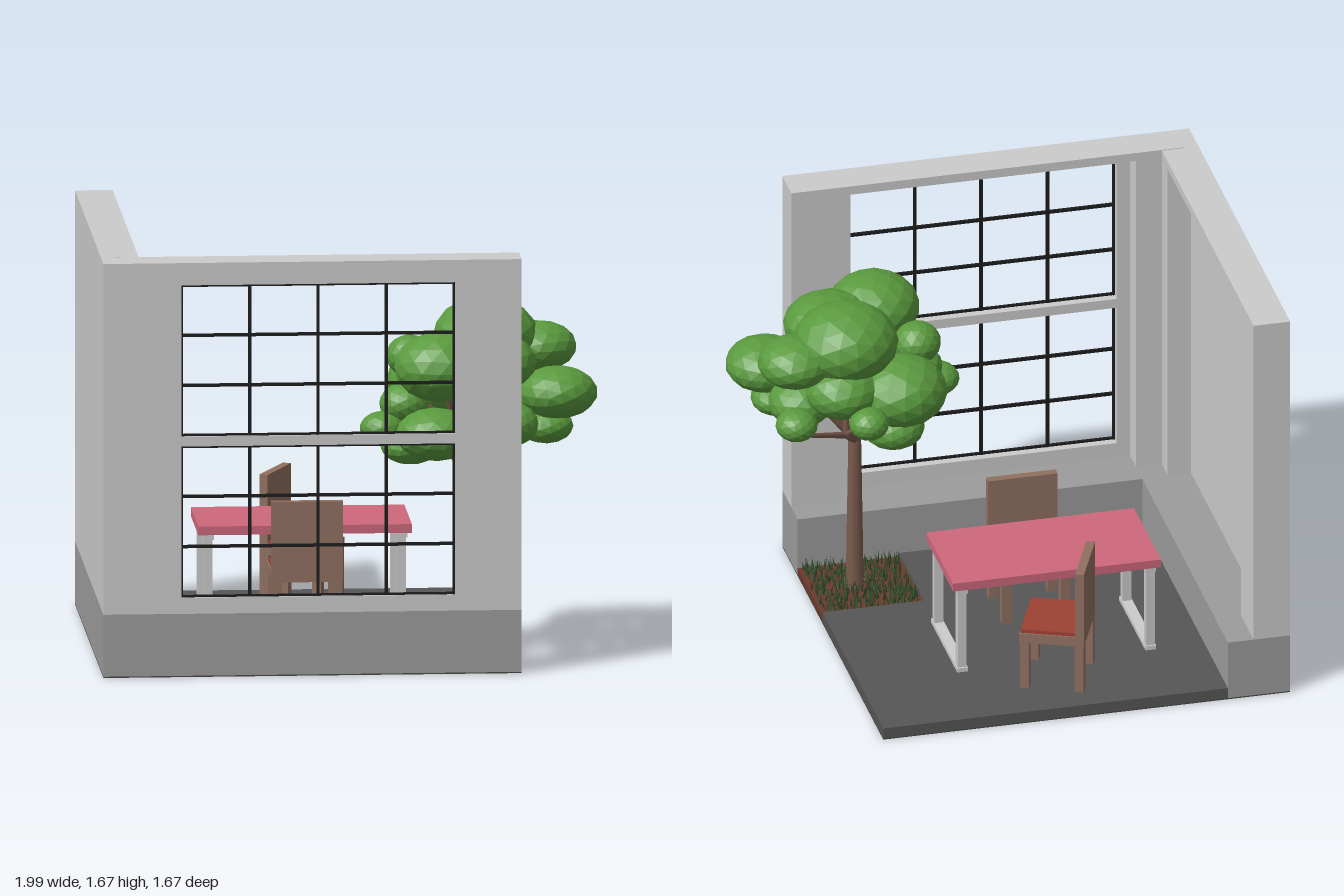
import * as THREE from 'three';
import { mergeGeometries } from 'three/addons/utils/BufferGeometryUtils.js';

const mat = (color, extra = {}) => new THREE.MeshStandardMaterial({ color, ...extra });
const M = {
  wall: mat(0xcccccc), base: mat(0x9c9c9c), floor: mat(0x565656), underside: mat(0x484848),
  bar: mat(0x1c1c1c), table: mat(0xcd687c), wood: mat(0x907060), cushion: mat(0x9e4034),
  bark: mat(0x7c5c4e), leaf: mat(0x5a9a3e, { flatShading: true }),
  soil: mat(0x6a3a2c), grass: mat(0x33502c, { flatShading: true, side: THREE.DoubleSide }),
};

function add(parent, name, geometry, material) {
  const mesh = new THREE.Mesh(geometry, material);
  mesh.name = name;
  parent.add(mesh);
  return mesh;
}

// Box given by its lower and upper corners
function box(parent, name, material, x0, x1, y0, y1, z0, z1) {
  const mesh = add(parent, name, new THREE.BoxGeometry(x1 - x0, y1 - y0, z1 - z0), material);
  mesh.position.set((x0 + x1) / 2, (y0 + y1) / 2, (z0 + z1) / 2);
  return mesh;
}

const rect = (x0, x1, y0, y1) =>
  [[x0, y0], [x1, y0], [x1, y1], [x0, y1]].map(p => new THREE.Vector2(...p));

function panel(points, depth, holes = []) {
  const shape = new THREE.Shape(points);
  holes.forEach(h => shape.holes.push(new THREE.Path(h)));
  return new THREE.ExtrudeGeometry(shape, { depth, bevelEnabled: false });
}

// Inner frame of a wall, open at the bottom where it meets the plinth
const surround = (a, b, c, d) => panel(
  [[a, 0.255], [b, 0.255], [b, 1.635], [c, 1.635], [c, 0.255], [d, 0.255], [d, 1.67], [a, 1.67]]
    .map(p => new THREE.Vector2(...p)), 0.095);

function createRoom() {
  const g = new THREE.Group();
  g.name = 'room';
  box(g, 'underside', M.underside, -1, 0.665, 0, 0.005, -0.835, 0.835);
  // Floor leaves a corner free for the planting bed
  const floorPts = [[-0.745, -0.58], [0.25, -0.58], [0.25, -0.17], [0.665, -0.17], [0.665, 0.835], [-0.745, 0.835]]
    .map(p => new THREE.Vector2(...p));
  const floor = add(g, 'floor', panel(floorPts, 0.045), M.floor);
  floor.rotation.x = -Math.PI / 2;
  floor.position.y = 0.005;
  // Plinths
  box(g, 'sidePlinth', M.base, -1, -0.745, 0.005, 0.255, -0.835, 0.58);
  box(g, 'frontPlinth', M.base, -1, 0.665, 0.005, 0.255, 0.58, 0.835);
  // Side wall with a recessed inner panel
  box(g, 'sideWall', M.wall, -1, -0.945, 0.255, 1.67, -0.835, 0.78);
  const side = add(g, 'sideWallFrame', surround(-0.835, -0.63, 0.585, 0.68), M.wall);
  side.rotation.y = -Math.PI / 2;
  side.position.x = -0.85;
  // Front wall with two openings divided by a crossbar
  const panes = [[0.32, 0.93], [0.97, 1.58]];
  const front = add(g, 'frontWall', panel(rect(-1, 0.665, 0.255, 1.67), 0.055,
    panes.map(([lo, hi]) => rect(-0.69, 0.40, lo, hi))), M.wall);
  front.position.z = 0.78;
  const inner = add(g, 'frontWallFrame', surround(-0.945, -0.745, 0.46, 0.665), M.wall);
  inner.position.z = 0.685;
  // Window bars
  const t = 0.006;
  panes.forEach(([lo, hi]) => {
    for (let i = 0; i <= 4; i++) {
      const x = THREE.MathUtils.lerp(-0.688, 0.398, i / 4);
      box(g, 'verticalBar', M.bar, x - t, x + t, lo, hi, 0.812, 0.828);
    }
    for (let i = 0; i <= 3; i++) {
      const y = THREE.MathUtils.lerp(lo + 0.002, hi - 0.002, i / 3);
      box(g, 'horizontalBar', M.bar, -0.69, 0.40, y - t, y + t, 0.814, 0.826);
    }
  });
  return g;
}

function createTable() {
  const g = new THREE.Group();
  g.name = 'table';
  box(g, 'tableTop', M.table, -0.565, 0.285, 0.42, 0.455, -0.455, -0.01);
  for (const x of [-0.525, 0.245]) {
    for (const z of [-0.425, -0.04])
      box(g, 'tableLeg', M.wall, x - 0.018, x + 0.018, 0.065, 0.405, z - 0.018, z + 0.018);
    box(g, 'tableFoot', M.wall, x - 0.022, x + 0.022, 0.05, 0.068, -0.45, -0.015);
    box(g, 'tableRail', M.wall, x - 0.022, x + 0.022, 0.4, 0.42, -0.45, -0.015);
  }
  return g;
}

// Chair centred on its seat, backrest towards +z
function createChair(x, z, turn) {
  const g = new THREE.Group();
  g.name = 'chair';
  box(g, 'backrest', M.wood, -0.1425, 0.1425, 0.255, 0.58, 0.095, 0.13);
  box(g, 'seat', M.wood, -0.1425, 0.1425, 0.255, 0.296, -0.13, 0.095);
  box(g, 'cushion', M.cushion, -0.136, 0.136, 0.296, 0.311, -0.126, 0.095);
  for (const s of [-1, 1]) {
    for (const z0 of [-0.128, 0.092])
      box(g, 'chairLeg', M.wood, s * 0.12 - 0.02, s * 0.12 + 0.02, 0.05, 0.256, z0, z0 + 0.037);
  }
  g.position.set(x, 0, z);
  g.rotation.y = turn;
  return g;
}

// Tapered limb between two points
function limb(parent, name, a, b, r0, r1) {
  const p = new THREE.Vector3(...a), d = new THREE.Vector3(...b).sub(p);
  const mesh = add(parent, name, new THREE.CylinderGeometry(r1, r0, d.length(), 8), M.bark);
  mesh.position.copy(p).addScaledVector(d, 0.5);
  mesh.quaternion.setFromUnitVectors(new THREE.Vector3(0, 1, 0), d.normalize());
}

function createTree() {
  const g = new THREE.Group();
  g.name = 'tree';
  const fork = [0.48, 0.7, 0.385];
  limb(g, 'trunk', [0.48, 0.03, 0.385], [0.48, 0.72, 0.385], 0.037, 0.026);
  // Main boughs, each with the twigs that leave it
  const boughs = [
    { end: [0.42, 0.95, 0.485], twigs: [[0.37, 1.15, 0.56], [0.2, 0.92, 0.42], [0.55, 1.15, 0.48]] },
    { end: [0.56, 0.82, 0.2], twigs: [[0.78, 0.95, 0], [0.57, 1.22, 0.19], [0.53, 1, -0.04]] },
    { end: [0.6, 0.85, 0.37], twigs: [[0.83, 1.04, 0.43], [0.77, 1.17, 0.17]] },
    { end: [0.41, 0.83, 0.27], twigs: [[0.35, 1.03, 0.1], [0.26, 1.15, 0.24]] },
  ];
  boughs.forEach(({ end, twigs }) => {
    limb(g, 'bough', fork, end, 0.02, 0.015);
    twigs.forEach(t => limb(g, 'twig', end, t, 0.014, 0.008));
  });
  // Leaf clusters: x, y, z, width radius, height radius
  const clusters = [
    [0.565, 1.25, 0.19, 0.21, 0.155], [0.36, 1.19, 0.56, 0.185, 0.14],
    [0.56, 1.19, 0.46, 0.19, 0.12], [0.835, 1.06, 0.43, 0.16, 0.105],
    [0.78, 1.2, 0.16, 0.15, 0.1], [0.36, 1.05, 0.1, 0.185, 0.14],
    [0.26, 1.18, 0.24, 0.095, 0.085], [0.8, 0.975, 0.05, 0.085, 0.065],
    [0.53, 1.0, -0.055, 0.08, 0.065], [0.14, 0.92, 0.4, 0.09, 0.065],
    [0.23, 1.01, 0.36, 0.1, 0.08], [0.34, 0.92, 0.57, 0.16, 0.105],
    [0.63, 0.96, 0.58, 0.12, 0.09], [0.74, 0.98, 0.23, 0.13, 0.1],
    [0.37, 0.84, 0.19, 0.125, 0.085], [0.25, 0.85, 0.42, 0.12, 0.075],
    [0.6, 1.08, 0.1, 0.15, 0.11], [0.79, 0.92, 0.4, 0.11, 0.07],
  ];
  clusters.forEach(([x, y, z, r, h], i) => {
    const leaf = add(g, 'leafCluster', new THREE.IcosahedronGeometry(1, 2), M.leaf);
    leaf.position.set(x, y, z);
    leaf.scale.set(r, h, r);
    leaf.rotation.y = i * 1.3;
  });
  return g;
}

function createPlantingBed() {
  const g = new THREE.Group();
  g.name = 'plantingBed';
  box(g, 'soil', M.soil, 0.25, 0.665, 0.005, 0.035, 0.17, 0.58);
  let seed = 7;
  const rnd = () => (seed = (seed * 16807) % 2147483647) / 2147483647;
  // Blades of grass, leaning at varied angles
  const blades = [];
  for (let i = 0; i < 450; i++) {
    const h = 0.035 + rnd() * 0.02;
    blades.push(new THREE.ConeGeometry(0.005, h, 3)
      .translate(0, h / 2, 0)
      .rotateX((rnd() - 0.5) * 0.8)
      .rotateY(rnd() * 6.28)
      .translate(0.262 + rnd() * 0.392, 0.034, 0.182 + rnd() * 0.386));
  }
  add(g, 'grass', mergeGeometries(blades), M.grass);
  return g;
}

export function createModel() {
  const model = new THREE.Group();
  model.name = 'diningCorner';
  model.add(createRoom(), createTable(), createChair(-0.1425, 0.025, 0),
    createChair(-0.116, -0.553, -1.97), createTree(), createPlantingBed());
  return model;
}
